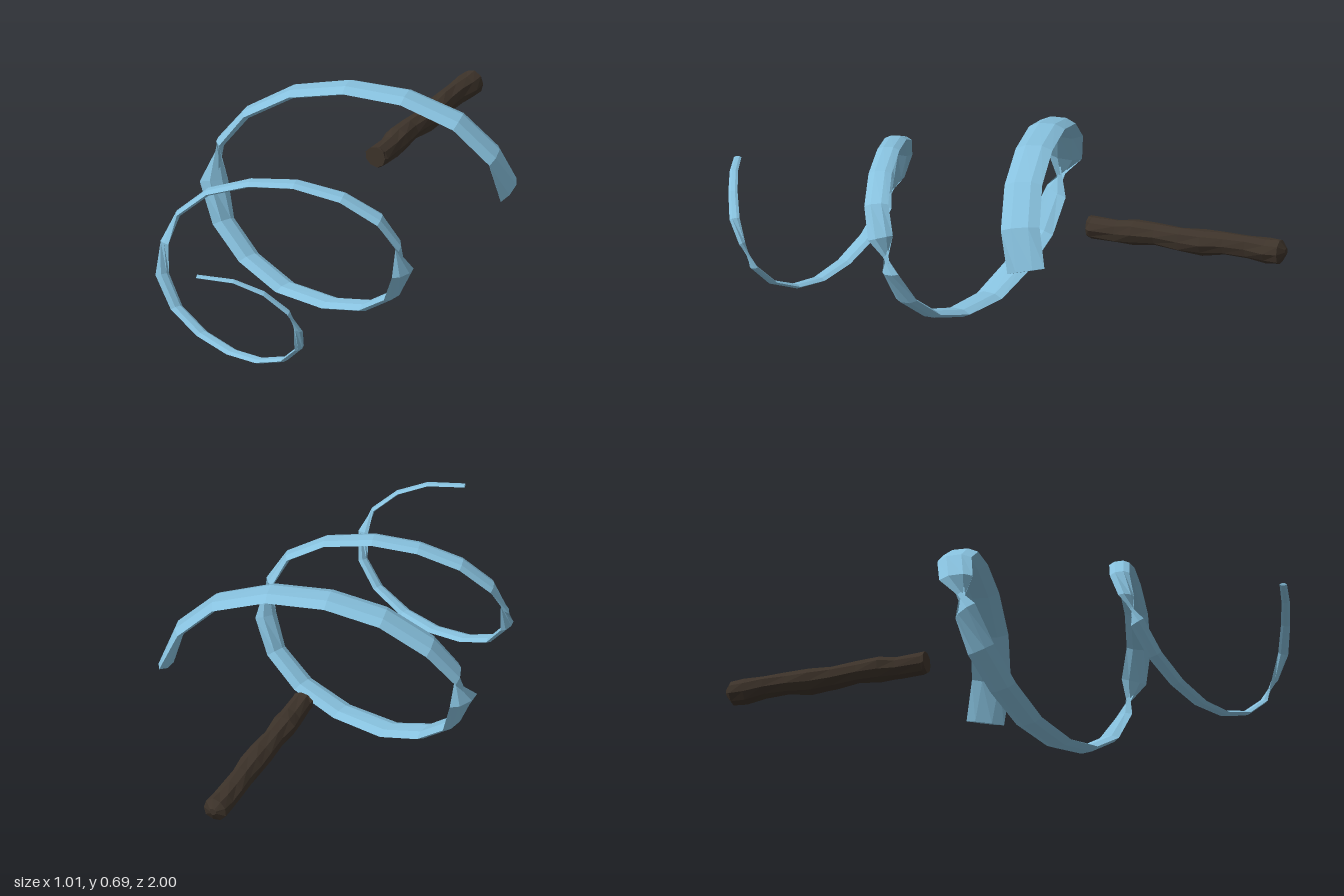
import * as THREE from 'three';

// Flat-shaded skin through rings of points, closed with a fan at both ends
function loft(rings) {
  const pos = [];
  const tri = (...pts) => pts.forEach((p) => pos.push(p.x, p.y, p.z));
  const n = rings[0].length;
  for (let i = 0; i < rings.length - 1; i++) {
    for (let j = 0; j < n; j++) {
      const k = (j + 1) % n;
      const a = rings[i][j], b = rings[i + 1][j], c = rings[i + 1][k], d = rings[i][k];
      tri(a, b, c);
      tri(a, c, d);
    }
  }
  const first = rings[0], last = rings[rings.length - 1];
  for (let j = 1; j < n - 1; j++) {
    tri(first[0], first[j], first[j + 1]);
    tri(last[0], last[j + 1], last[j]);
  }
  const geometry = new THREE.BufferGeometry();
  geometry.setAttribute('position', new THREE.Float32BufferAttribute(pos, 3));
  geometry.computeVertexNormals();
  return geometry;
}

// Centre line of the ribbon: x, y pairs winding inwards while z advances evenly
const SPIRAL = [
  [0.487, 0.352], [0.45, 0.485], [0.335, 0.6], [0.155, 0.665], [-0.045, 0.675],
  [-0.23, 0.635], [-0.385, 0.54], [-0.467, 0.43], [-0.475, 0.3], [-0.42, 0.175],
  [-0.305, 0.08], [-0.15, 0.018], [0.04, 0.015], [0.2, 0.056], [0.315, 0.135],
  [0.37, 0.24], [0.37, 0.36], [0.32, 0.455], [0.2, 0.525], [0.04, 0.555],
  [-0.11, 0.543], [-0.25, 0.495], [-0.345, 0.41], [-0.378, 0.31], [-0.368, 0.21],
  [-0.295, 0.117], [-0.18, 0.06], [-0.05, 0.035], [0.075, 0.045], [0.19, 0.09],
  [0.262, 0.16], [0.278, 0.245], [0.258, 0.32], [0.185, 0.388], [0.09, 0.427],
  [-0.03, 0.434],
];

// Lens-shaped section, as fractions of width and thickness
const SECTION = [[0.5, 0], [0.22, 0.5], [-0.22, 0.5], [-0.5, 0], [-0.22, -0.5], [0.22, -0.5]];

function ribbonGeometry() {
  const last = SPIRAL.length - 1;
  const path = SPIRAL.map(([x, y], i) => new THREE.Vector3(x, y, -0.27 + (1.255 * i) / last));
  const up = new THREE.Vector3(0, 1, 0);
  const rings = path.map((p, i) => {
    const tangent = path[Math.min(i + 1, last)].clone().sub(path[Math.max(i - 1, 0)]).normalize();
    // The width lies along the axis and flips over sharply at each side of a turn
    const level = tangent.clone().cross(up).normalize();
    const axial = new THREE.Vector3(0, 0, 1).addScaledVector(tangent, -tangent.z).normalize();
    const radial = tangent.clone().cross(axial);
    const lean = i === 0 ? 0 : 0.4;
    const side = axial.clone().multiplyScalar(level.dot(axial))
      .addScaledVector(radial, lean * level.dot(radial)).normalize();
    const normal = side.clone().cross(tangent);
    const width = 0.135 - (0.11 * i) / last;
    const thickness = 0.034 - (0.025 * i) / last;
    return SECTION.map(([s, t]) =>
      p.clone().addScaledVector(side, s * width).addScaledVector(normal, t * thickness));
  });
  return loft(rings);
}

// Gnarled stick: z and radius of each ring
const STICK = [
  [-0.288, 0.037], [-0.3, 0.038], [-0.39, 0.039], [-0.45, 0.043], [-0.53, 0.038],
  [-0.62, 0.041], [-0.7, 0.044], [-0.78, 0.039], [-0.86, 0.039], [-0.93, 0.043],
  [-0.98, 0.042], [-1, 0.012],
];

function stickGeometry() {
  const sides = 9;
  return loft(STICK.map(([z, r], i) => Array.from({ length: sides }, (_, j) => {
    const a = (j / sides) * Math.PI * 2;
    const rr = r * (1 + 0.05 * Math.sin(i * 2.3 + j * 1.9));
    return new THREE.Vector3(
      -0.026 + 0.003 * Math.sin(i * 1.4) + rr * Math.cos(a),
      0.354 + 0.003 * Math.cos(i * 1.7) + rr * Math.sin(a), z);
  })));
}

export function createModel() {
  const ribbonBlue = new THREE.MeshStandardMaterial({ color: 0x87c1de });
  ribbonBlue.name = 'ribbonBlue';
  const darkWood = new THREE.MeshStandardMaterial({ color: 0x3d332a });
  darkWood.name = 'darkWood';

  const group = new THREE.Group();
  group.name = 'ribbonWand';
  const add = (name, geometry, material) => {
    const mesh = new THREE.Mesh(geometry, material);
    mesh.name = name;
    group.add(mesh);
  };
  add('spiralRibbon', ribbonGeometry(), ribbonBlue);
  add('stick', stickGeometry(), darkWood);
  return group;
}
